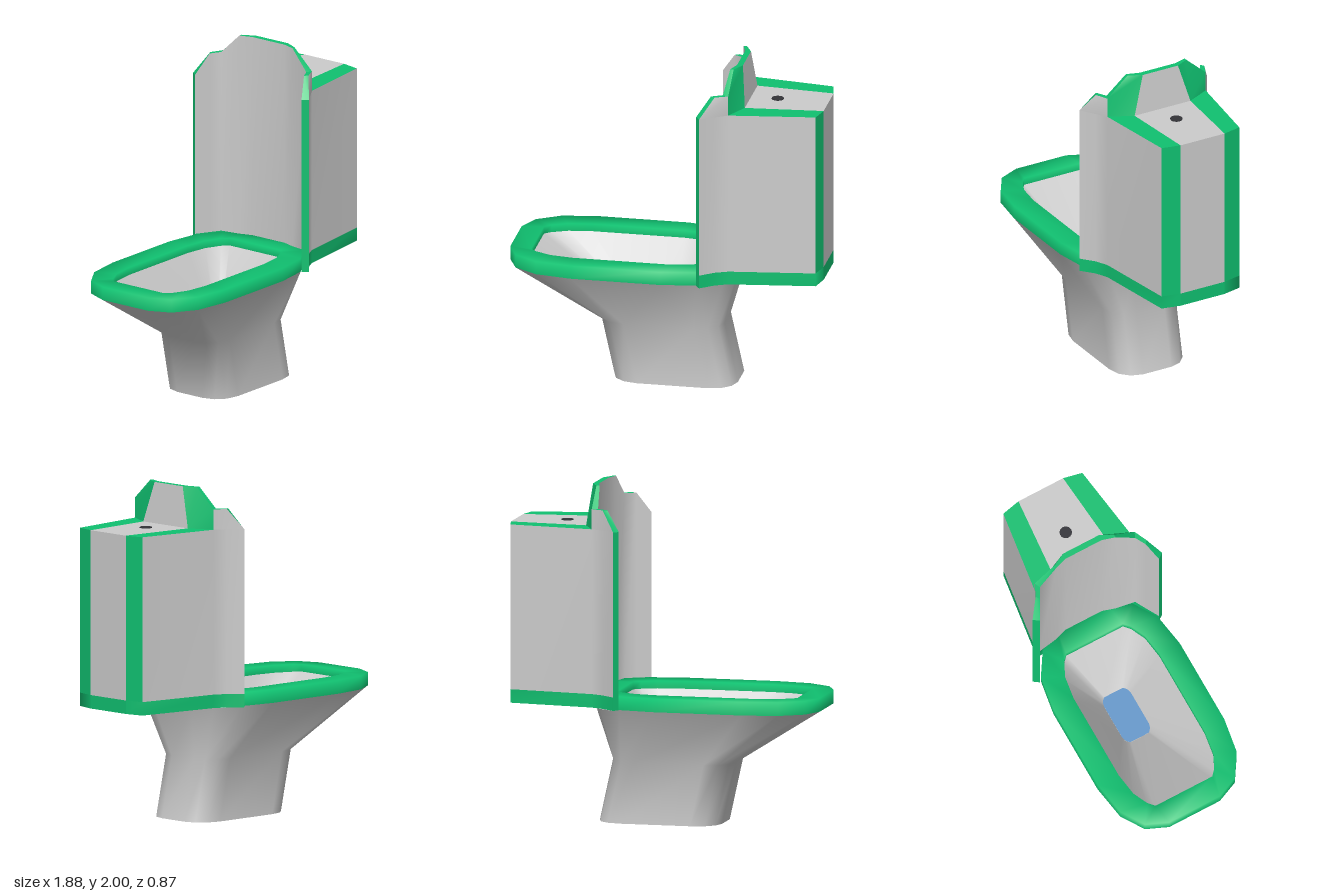
import * as THREE from 'three';

const paint = (color) => new THREE.MeshStandardMaterial({ color, side: THREE.DoubleSide });
const GREY = paint(0xcccccc), GREEN = paint(0x10c070), BLUE = paint(0x6699cc), DARK = paint(0x333338);

// Smooth skin across rows of points; columns run counter-clockwise seen from above
function loft(rows, closed = false) {
  const n = rows[0].length, index = [];
  for (let i = 0; i < rows.length - 1; i++) {
    for (let j = 0; j < (closed ? n : n - 1); j++) {
      const k = (j + 1) % n, a = i * n, b = a + n;
      index.push(a + j, a + k, b + k, a + j, b + k, b + j);
    }
  }
  const g = new THREE.BufferGeometry();
  g.setAttribute('position', new THREE.Float32BufferAttribute(rows.flat(2), 3));
  g.setIndex(index);
  g.computeVertexNormals();
  return g;
}

// Flat convex face
function face(pts) {
  const g = new THREE.BufferGeometry(), index = [];
  for (let i = 1; i < pts.length - 1; i++) index.push(0, i, i + 1);
  g.setAttribute('position', new THREE.Float32BufferAttribute(pts.flat(), 3));
  g.setIndex(index);
  g.computeVertexNormals();
  return g;
}

// Rounded oblong outline at height y
function ring(y, x0, x1, hz, c, zf = [0.4, 0.71, 0.92, 1]) {
  const inset = [0, 0.14, 0.48, 1];
  const corner = [0, 1, 2, 3].map((i) => [inset[i] * c, zf[i] * hz]);
  const back = corner.slice().reverse();
  return [
    ...back.map(([d, z]) => [x1 - d, y, z]),
    ...corner.map(([d, z]) => [x1 - d, y, -z]),
    ...back.map(([d, z]) => [x0 + d, y, -z]),
    ...corner.map(([d, z]) => [x0 + d, y, z]),
  ];
}

const mirror = (pts) => pts.map(([x, y, z]) => [x, y, -z]).reverse();
const sym = (pts) => [...pts, ...mirror(pts)];
const at = (plan, y) => plan.map(([x, z]) => [x, y, z]);

export function createModel() {
  const model = new THREE.Group();
  const add = (parent, name, geometry, material) => {
    const mesh = new THREE.Mesh(geometry, material);
    mesh.name = name;
    parent.add(mesh);
    return mesh;
  };
  const group = (name) => {
    const g = new THREE.Group();
    g.name = name;
    model.add(g);
    return g;
  };

  // Pedestal and basin
  const bowl = group('bowl');
  const foot = ring(0, -0.33, 0.41, 0.235, 0.16);
  add(bowl, 'pedestal', loft([
    foot,
    ring(0.365, -0.41, 0.33, 0.235, 0.16),
    ring(0.7, -0.94, 0.42, 0.425, 0.41),
  ], true), GREY);
  add(bowl, 'pedestalBase', face(foot.slice().reverse()), GREY);
  const rimZ = [0.66, 0.78, 0.93, 1];
  const pool = ring(0.4, -0.27, 0.05, 0.09, 0.05, rimZ);
  add(bowl, 'basin', loft([ring(0.74, -0.815, 0.285, 0.292, 0.27, rimZ), pool], true), GREY);
  add(bowl, 'water', face(pool.map(([x, y, z]) => [x, y + 0.003, z])), BLUE);

  // Seat ring
  add(model, 'seat', loft([
    ring(0.7, -0.94, 0.42, 0.425, 0.41),
    ring(0.78, -0.94, 0.42, 0.425, 0.41),
    ring(0.78, -0.81, 0.28, 0.288, 0.27, rimZ),
    ring(0.735, -0.81, 0.28, 0.288, 0.27, rimZ),
  ], true), GREEN);

  // Half plans [x, z] of the backrest and the tank behind it, from wing tip inward
  const LOW = 0.7, BAND = 0.78, LID = 1.76;
  const heights = [LID, 1.88, 1.88, 2, 2];
  const inner = [[0.22, 0.4], [0.3, 0.355], [0.365, 0.32], [0.385, 0.2], [0.41, 0.12]];
  const outer = [[0.245, 0.435], [0.325, 0.37], [0.4, 0.335], [0.405, 0.2], [0.445, 0.12]];
  const side = [outer[0], outer[1], outer[2], [0.91, 0.265]];
  const chamfer = [[0.91, 0.265], [0.935, 0.15]];
  const lidIn = [0.47, 0.19];
  const tops = (plan) => plan.map(([x, z], i) => [x, heights[i], z]);

  // Backrest: hollow front, top edge and rear crest
  const rest = group('backrest');
  const innerAt = (y) => sym(at(inner, y)).reverse();
  add(rest, 'backrestFront', loft([innerAt(BAND), sym(tops(inner)).reverse()]), GREY);
  add(rest, 'backrestFoot', loft([innerAt(LOW), innerAt(BAND)]), GREEN);
  const topOut = sym(tops(outer)), topIn = sym(tops(inner));
  for (let i = 0; i < topOut.length - 1; i++) {
    add(rest, 'backrestEdge', face([topOut[i], topOut[i + 1], topIn[i + 1], topIn[i]]), GREEN);
  }
  const crestFoot = [lidIn[0], LID, lidIn[1]], [, , shoulder, peak, crown] = tops(outer);
  add(rest, 'crestBack', face([crestFoot, mirror([crestFoot])[0], mirror([crown])[0], crown]), GREY);

  const tank = group('tank');
  for (const s of [1, -1]) {
    const flip = (pts) => (s > 0 ? pts : mirror(pts));
    const wall = (plan, y0, y1) => loft([flip(at(plan, y0)), flip(at(plan, y1))]);
    // Crest shoulder and wing tip
    add(rest, 'crestShoulder', face(flip([crown, peak, shoulder, [0.4, LID, 0.335], crestFoot])), GREEN);
    add(rest, 'wingTip', wall([inner[0], outer[0]], LOW, LID), GREEN);
    add(rest, 'wingTop', face(flip([...at(outer.slice(0, 3), LID), shoulder, tops(outer)[1]])), GREY);
    // Tank sides and corners
    add(tank, 'tankSide', wall(side, BAND, LID), GREY);
    add(tank, 'tankCorner', wall(chamfer, BAND, LID), GREEN);
    add(tank, 'tankBand', wall([...side, chamfer[1]], LOW, BAND), GREEN);
    add(tank, 'lidTrim', face(flip(at([outer[2], ...chamfer, lidIn], LID))), GREEN);
    add(tank, 'wingUnderside', face(flip(at([inner[0], inner[1], inner[2], outer[2], outer[1], outer[0]], LOW))), GREY);
  }
  // Tank back, lid, underside and flush button
  const backAt = (y) => sym([[0.935, y, 0.15]]);
  add(tank, 'tankBack', loft([backAt(BAND), backAt(LID)]), GREY);
  add(tank, 'tankBackBand', loft([backAt(LOW), backAt(BAND)]), GREEN);
  add(tank, 'lid', face(sym(at([lidIn, chamfer[1]], LID))), GREY);
  add(tank, 'tankUnderside', face(sym(at([inner[2], outer[2], ...chamfer], LOW)).reverse()), GREY);
  add(tank, 'flushButton', new THREE.CylinderGeometry(0.036, 0.036, 0.006, 20), DARK).position.set(0.63, LID + 0.002, 0);
  return model;
}
